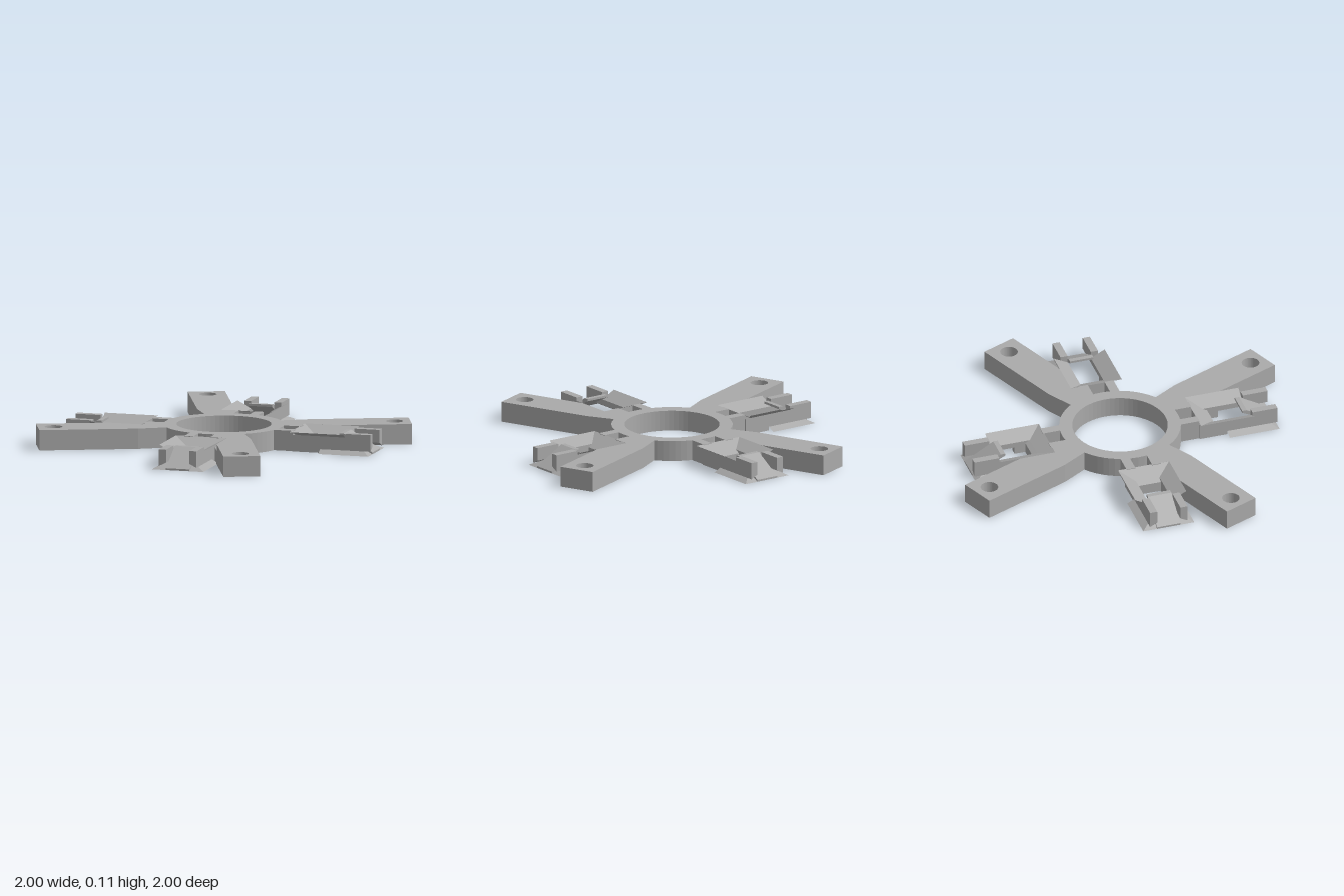
import * as THREE from 'three';

const H = 0.11; // overall thickness

export function createModel() {
  const root = new THREE.Group();
  root.name = 'fourArmBracket';
  const grey = new THREE.MeshStandardMaterial({ color: 0xaaaaaa, side: THREE.DoubleSide });
  grey.name = 'grey plastic';

  const add = (parent, geometry, name) => {
    const mesh = new THREE.Mesh(geometry, grey);
    mesh.name = name;
    parent.add(mesh);
    return mesh;
  };
  const outline = pts => new THREE.Shape(pts.map(([x, y]) => new THREE.Vector2(x, y)));
  const circle = (x, r) => new THREE.Path().absarc(x, 0, r, 0, Math.PI * 2, true);
  const extrude = (shape, depth) =>
    new THREE.ExtrudeGeometry(shape, { depth, bevelEnabled: false, curveSegments: 32 });
  // plan outline (x, z) raised from y0 to y1
  const slab = (shape, y0, y1) => extrude(shape, y1 - y0).rotateX(Math.PI / 2).translate(0, y1, 0);
  // cross-section (z, y) swept along x
  const sweepX = (pts, x0, x1) => extrude(outline(pts.map(([z, y]) => [-z, y])), x1 - x0)
    .rotateY(Math.PI / 2).translate(x0, 0, 0);
  // side profile (x, y) centred across z
  const sweepZ = (pts, half) => extrude(outline(pts), half * 2).translate(0, 0, -half);
  // thin four-cornered sheet
  const sheet = (a, b, c, d) => {
    const g = new THREE.BufferGeometry();
    g.setAttribute('position', new THREE.Float32BufferAttribute([a, b, c, a, c, d].flat(), 3));
    g.computeVertexNormals();
    return g;
  };

  // central ring
  const ring = new THREE.Shape().absarc(0, 0, 0.325, 0, Math.PI * 2);
  ring.holes.push(circle(0, 0.255));
  add(root, slab(ring, 0, H), 'centreRing');

  for (let k = 0; k < 4; k++) {
    const sector = new THREE.Group();
    sector.name = 'sector';
    sector.rotation.y = k * Math.PI / 2;
    root.add(sector);

    // arm with a bolt hole; its upper layer is notched where the clip funnel cuts in
    const armStart = [[0.3, 0.075], [0.3, -0.075], [0.47, -0.1], [1, -0.1], [1, 0.1]];
    const lower = outline([...armStart, [0.47, 0.1]]);
    const upper = outline([...armStart, [0.615, 0.1], [0.434, 0.025], [0.406, 0.091]]);
    for (const s of [lower, upper]) s.holes.push(circle(0.915, 0.047));
    add(sector, slab(lower, 0, 0.075), 'armLower');
    add(sector, slab(upper, 0.075, H), 'armUpper');

    // clip between the arms
    const clip = new THREE.Group();
    clip.name = 'clip';
    clip.rotation.y = -Math.PI / 8;
    sector.add(clip);

    for (const s of [1, -1]) {
      const rail = (pts, x0, x1, name) => add(clip, sweepX(pts.map(([z, y]) => [s * z, y]), x0, x1), name);
      rail([[0.047, 0], [0.097, 0], [0.097, H], [0.047, H]], 0.3, 0.416, 'neckRail');
      rail([[0.065, 0], [0.105, 0], [0.105, 0.09], [0.065, 0.07]], 0.416, 0.57, 'innerRail');
      rail([[0.065, 0.04], [0.105, 0.02], [0.105, 0.09], [0.065, 0.07]], 0.57, 0.71, 'middleRail');
      rail([[0.065, 0.04], [0.105, 0.02], [0.105, H], [0.065, H]], 0.71, 0.85, 'prong');
      // flared funnel sides, above and below
      add(clip, sheet([0.41, H, s * 0.143], [0.71, H, s * 0.143],
        [0.71, 0.07, s * 0.065], [0.485, 0.07, s * 0.065]), 'upperFunnelSide');
      add(clip, sheet([0.57, 0, s * 0.143], [0.85, 0, s * 0.143],
        [0.775, 0.04, s * 0.065], [0.57, 0.04, s * 0.065]), 'lowerFunnelSide');
    }
    // funnel ends
    add(clip, sheet([0.41, H, -0.143], [0.41, H, 0.143],
      [0.485, 0.07, 0.065], [0.485, 0.07, -0.065]), 'upperFunnelEnd');
    add(clip, sheet([0.85, 0, -0.143], [0.85, 0, 0.143],
      [0.775, 0.04, 0.065], [0.775, 0.04, -0.065]), 'lowerFunnelEnd');
    // cross bar closing the small square hole, and sloping floor between the prongs
    add(clip, sweepZ([[0.415, 0], [0.51, 0], [0.51, 0.056], [0.415, 0.107]], 0.066), 'crossBar');
    add(clip, sweepZ([[0.85, 0], [0.665, 0.092], [0.665, 0.104], [0.69, 0.104], [0.85, 0.01]], 0.066), 'slopingFloor');
  }
  return root;
}
